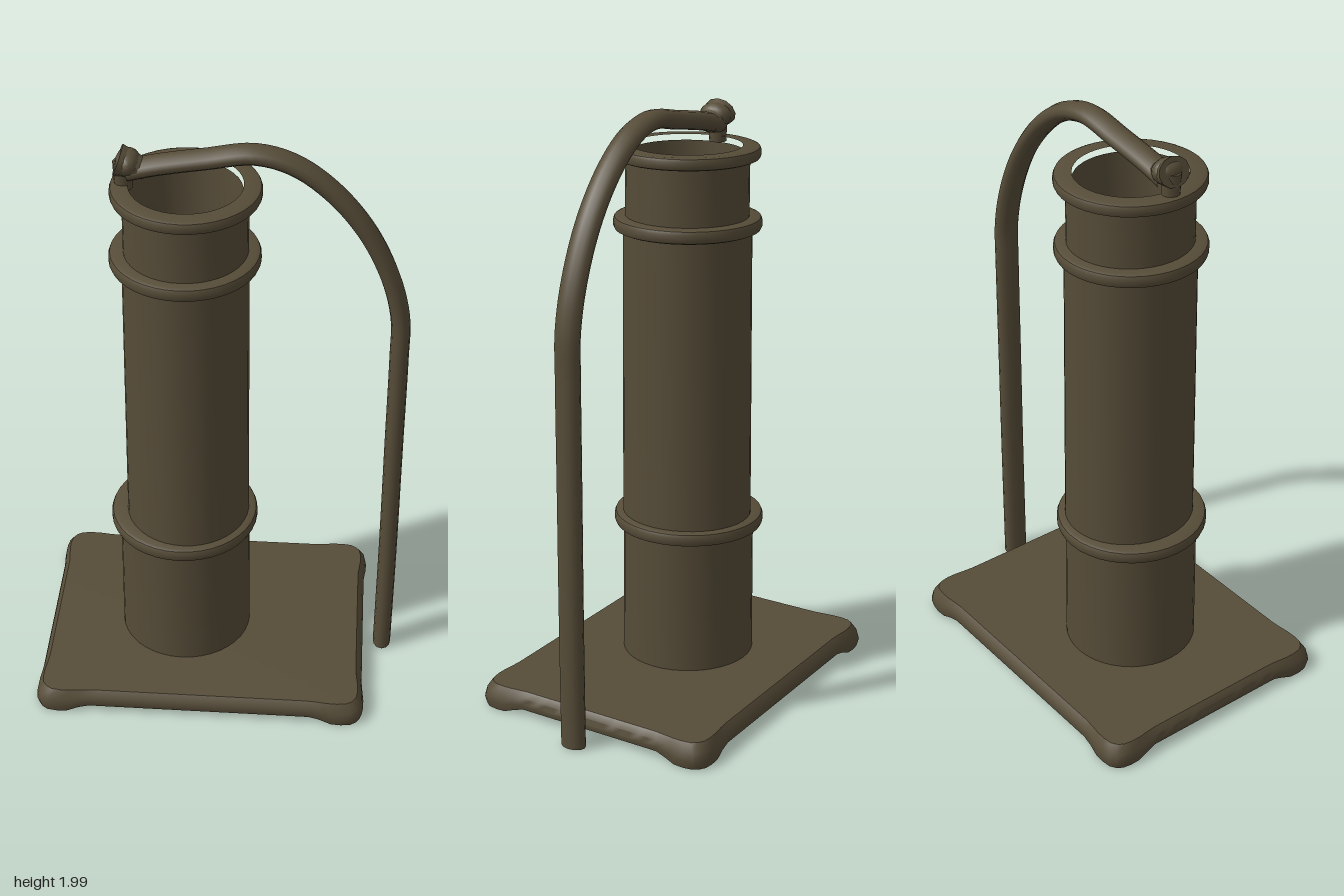
import * as THREE from 'three';
import { toCreasedNormals } from 'three/addons/utils/BufferGeometryUtils.js';

export function createModel() {
  const model = new THREE.Group();
  const bronze = new THREE.MeshStandardMaterial({ color: 0x564c38 });
  bronze.name = 'dark bronze';

  const add = (name, geometry, x = 0, y = 0, z = 0) => {
    const mesh = new THREE.Mesh(geometry, bronze);
    mesh.name = name;
    mesh.position.set(x, y, z);
    model.add(mesh);
    return mesh;
  };

  // Turned part with a slightly oval plan
  const turned = (name, profile, x, zScale) => {
    const points = profile.map(([r, y]) => new THREE.Vector2(r, y));
    const geometry = toCreasedNormals(new THREE.LatheGeometry(points, 40), 0.7);
    geometry.scale(1, 1, zScale);
    return add(name, geometry, x, 0, 0.005);
  };

  // Base plate: rounded corners that drop into low feet
  const W = 1.115, D = 0.87, R = 0.06;
  const plate = new THREE.BoxGeometry(W, 0.06, D, 32, 3, 26);
  const pos = plate.attributes.position;
  for (let i = 0; i < pos.count; i++) {
    let x = pos.getX(i), y = pos.getY(i), z = pos.getZ(i);
    const dx = W / 2 - Math.abs(x), dz = D / 2 - Math.abs(z);
    const foot = 1 - THREE.MathUtils.smoothstep(Math.max(dx, dz), 0.09, 0.17);
    // square corner mapped onto a round one
    if (dx < R && dz < R) {
      const u = R - dx, v = R - dz, len = Math.hypot(u, v);
      const k = len > 0 ? Math.max(u, v) / len : 1;
      x = Math.sign(x) * (W / 2 - R + u * k);
      z = Math.sign(z) * (D / 2 - R + v * k);
    }
    const inset = y > 0.02 ? 0.022 : y > 0 ? 0.006 : y < -0.02 ? 0.006 : 0;
    const bulge = 0.008 * foot - inset;
    x *= 1 + bulge / (W / 2);
    z *= 1 + bulge / (D / 2);
    y -= foot * 0.024 * (0.03 - y) / 0.06;
    pos.setXYZ(i, x, y, z);
  }
  add('basePlate', toCreasedNormals(plate, 0.8), -0.05, 0.06, 0);

  // Column: lower sleeve, main tube and hollow neck
  turned('lowerSleeve', [[0.225, 0.07], [0.222, 0.57], [0.19, 0.58]], -0.125, 1.0);
  turned('mainTube', [[0.208, 0.56], [0.201, 1.61], [0.18, 1.61]], -0.114, 1.07);
  turned('neck', [[0.197, 1.6], [0.197, 1.83]], -0.112, 1.04);
  turned('bore', [[0.178, 1.84], [0.172, 1.6], [0.172, 0.12], [0, 0.12]], -0.112, 1.03);

  // Rounded collars around the column
  const collar = (name, x, inner, outer, low, high, zScale) => {
    const c = (high - low) * 0.3;
    turned(name, [
      [inner, low], [outer - c, low], [outer - c * 0.3, low + c * 0.3], [outer, low + c],
      [outer, high - c], [outer - c * 0.3, high - c * 0.3], [outer - c, high], [inner, high],
    ], x, zScale);
  };
  collar('lowerCollar', -0.127, 0.19, 0.25, 0.553, 0.6, 1.02);
  collar('upperCollar', -0.115, 0.18, 0.24, 1.583, 1.63, 1.02);
  collar('rimCollar', -0.11, 0.178, 0.236, 1.818, 1.86, 1.02);

  // Curved spout pipe, wider in z than in x
  const bend = new THREE.CatmullRomCurve3([
    [-0.29, 1.9], [-0.2, 1.922], [-0.05, 1.948], [0.1, 1.97], [0.22, 1.938], [0.34, 1.85],
    [0.45, 1.715], [0.53, 1.55], [0.568, 1.4], [0.572, 1.25], [0.574, 0.9], [0.577, 0.45], [0.577, 0.008],
  ].map(([x, y]) => new THREE.Vector3(x, y, 0)), false, 'centripetal');
  const pipe = new THREE.TubeGeometry(bend, 90, 0.031, 12);
  pipe.scale(1, 1, 1.4);
  add('spoutPipe', pipe, 0, 0, 0.005);

  // Closed lower end of the pipe
  const cap = new THREE.CircleGeometry(0.031, 12);
  cap.rotateX(Math.PI / 2);
  cap.scale(1, 1, 1.4);
  add('pipeEnd', cap, 0.577, 0.008, 0.005);

  // Flared joint where the pipe meets the rim
  const joint = new THREE.CylinderGeometry(0.03, 0.048, 0.09, 12);
  joint.scale(1, 1, 1.2);
  const flare = add('pipeJoint', joint, -0.275, 1.92, 0.005);
  flare.rotation.z = -Math.PI / 2 - 0.35;
  const knob = new THREE.SphereGeometry(0.04, 14, 10);
  knob.scale(1, 1, 1.4);
  add('jointKnob', knob, -0.286, 1.93, 0.005);
  add('jointStem', new THREE.CylinderGeometry(0.032, 0.028, 0.09, 12), -0.302, 1.885, 0.005);

  return model;
}
